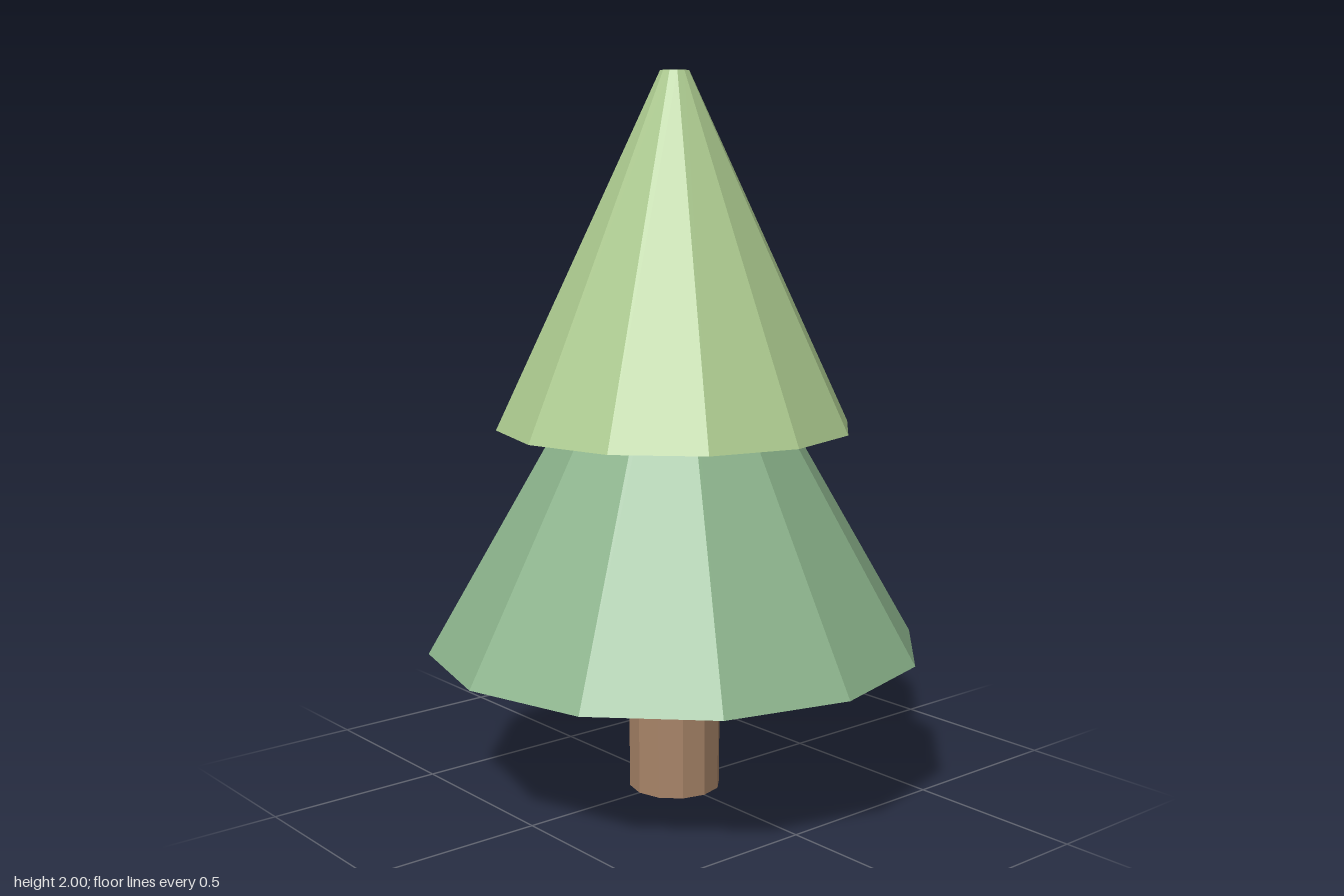
import * as THREE from 'three';

const SIDES = 12;

// A faceted, capped frustum standing between two heights
function tier(name, color, bottomRadius, topRadius, y0, y1) {
  const geometry = new THREE.CylinderGeometry(topRadius, bottomRadius, y1 - y0, SIDES);
  const material = new THREE.MeshStandardMaterial({ color, flatShading: true });
  const mesh = new THREE.Mesh(geometry, material);
  mesh.name = name;
  mesh.position.y = (y0 + y1) / 2;
  return mesh;
}

export function createModel() {
  const tree = new THREE.Group();
  tree.name = 'tree';
  tree.add(
    tier('trunk', 0xa88468, 0.13, 0.13, 0, 0.42),
    // The lower tier runs on, hidden, inside the upper one
    tier('lowerFoliage', 0x8ab28a, 0.69, 0.04, 0.417, 1.54),
    tier('upperFoliage', 0xabc98e, 0.494, 0.04, 1.037, 2),
  );
  return tree;
}
